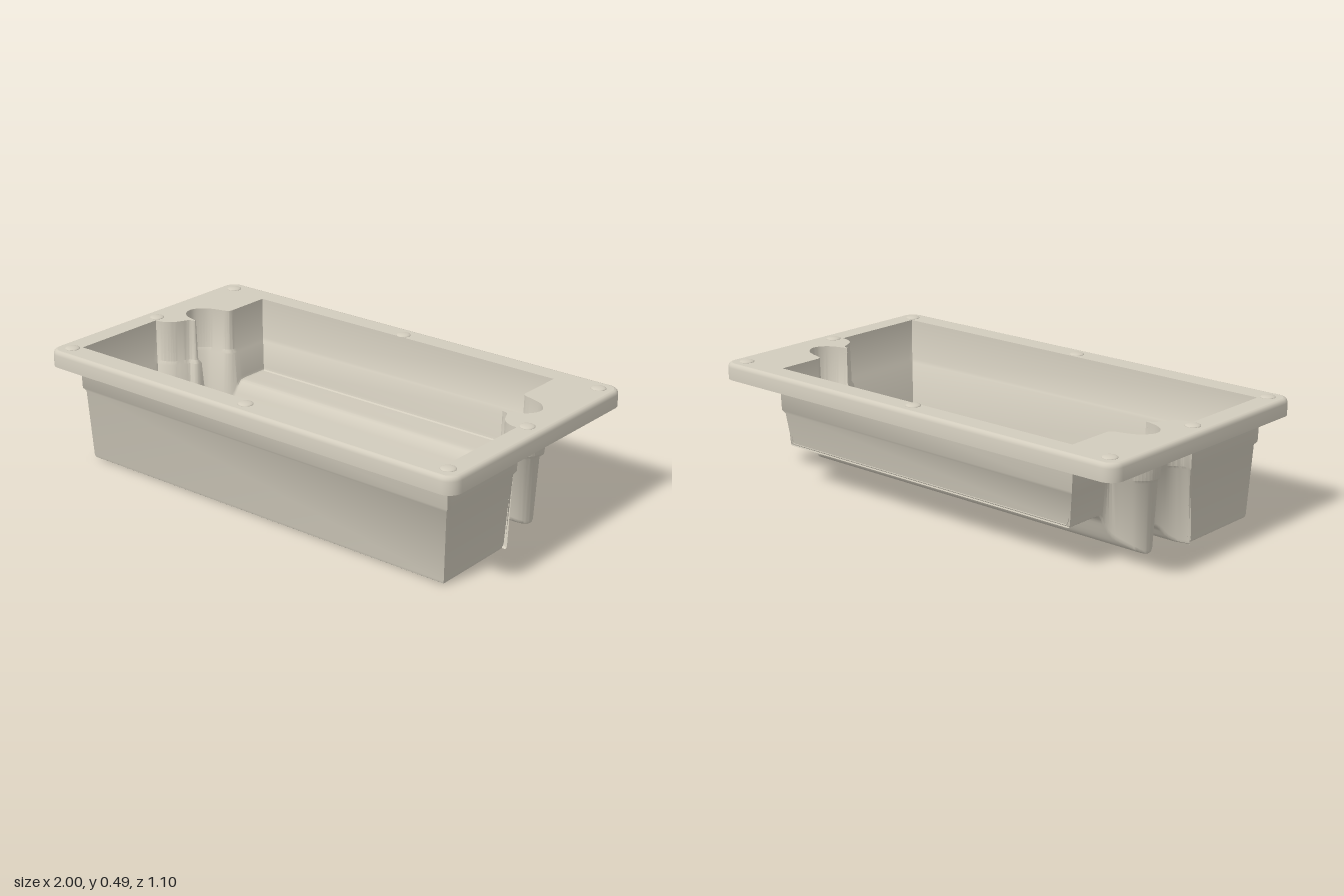
import * as THREE from 'three';
import { toCreasedNormals } from 'three/addons/utils/BufferGeometryUtils.js';

const V = (x, y) => new THREE.Vector2(x, y);
const TOP = 0.485, UNDER = 0.467, SKIRT = 0.417;

// Right half of the opening in (x, z), from the back corner to the front corner
function halfOutline() {
  const pts = [];
  const line = (a, b, n) => { for (let i = 0; i < n; i++) pts.push(a.clone().lerp(b, i / n)); };
  const spline = (list, n) => pts.push(...new THREE.SplineCurve(list.map(p => V(...p))).getPoints(n).slice(0, -1));
  line(V(0.745, -0.458), V(0.745, -0.262), 14);
  spline([[0.745, -0.262], [0.757, -0.245], [0.81, -0.23], [0.85, -0.212], [0.882, -0.175], [0.884, -0.14],
    [0.865, -0.108], [0.835, -0.088], [0.795, -0.076], [0.775, -0.073]], 36);
  spline([[0.775, -0.073], [0.778, -0.066], [0.802, -0.058], [0.816, -0.03], [0.837, 0.005], [0.87, 0.026], [0.905, 0.032]], 24);
  line(V(0.905, 0.032), V(0.905, 0.45), 16);
  pts.push(V(0.905, 0.45));
  return pts;
}

// Closed loop: right side back to front, then mirrored left side front to back
function fullOutline() {
  const half = halfOutline();
  return [...half, ...half.slice().reverse().map(p => V(-p.x, p.y))];
}

// Move a closed loop inward by d
function inset(loop, d) {
  const n = loop.length;
  const normal = (a, b) => { const t = b.clone().sub(a).normalize(); return V(-t.y, t.x); };
  return loop.map((p, i) => {
    const n1 = normal(loop[(i + n - 1) % n], p), n2 = normal(p, loop[(i + 1) % n]);
    const k = d / Math.max(0.7, 1 + n1.dot(n2));
    return V(p.x + (n1.x + n2.x) * k, p.y + (n1.y + n2.y) * k);
  });
}

// Rounded rectangle of the rim, inset by d
function rimLoop(d) {
  const r = Math.max(0.055 - d, 0.01), out = [];
  const cx = 1 - d - r, cz = 0.552 - d - r;
  [[1, -1, -90], [1, 1, 0], [-1, 1, 90], [-1, -1, 180]].forEach(([sx, sz, a0]) => {
    for (let i = 0; i <= 8; i++) {
      const a = THREE.MathUtils.degToRad(a0 + i * 90 / 8);
      out.push(V(sx * cx + r * Math.cos(a), sz * cz + r * Math.sin(a)));
    }
  });
  return out;
}

// Height of the floor underside along z
const floorCurve = new THREE.SplineCurve([[-0.5, 0.163], [-0.36, 0.163], [-0.29, 0.162], [-0.265, 0.15], [-0.25, 0.125],
  [-0.23, 0.08], [-0.21, 0.048], [-0.185, 0.027], [-0.155, 0.02], [-0.125, 0.024], [-0.1, 0.037], [-0.08, 0.06],
  [-0.066, 0.083], [-0.03, 0.071], [-0.005, 0.053], [0.015, 0.024], [0.035, 0.008], [0.06, 0.002], [0.2, 0.001],
  [0.5, 0.001]].map(p => V(...p))).getPoints(240);
function floorY(z) {
  const i = Math.max(1, floorCurve.findIndex(p => p.x >= z));
  const a = floorCurve[i - 1], b = floorCurve[i];
  return THREE.MathUtils.lerp(a.y, b.y, (z - a.x) / (b.x - a.x));
}

// Skin between rows of 3D points (rows run downward on outward faces); optional floor across the last row
function loft(rows, withFloor, flip) {
  const n = rows[0].length, pos = rows.flat(2), index = [];
  const quad = (a, b, c, d) => index.push(...(flip ? [a, c, b, b, c, d] : [a, b, c, b, d, c]));
  for (let j = 0; j < rows.length - 1; j++) {
    for (let i = 0; i < n; i++) {
      const k = (i + 1) % n;
      quad(j * n + i, j * n + k, (j + 1) * n + i, (j + 1) * n + k);
    }
  }
  if (withFloor) {
    const o = (rows.length - 1) * n;
    for (let i = 0; i < n / 2 - 1; i++) quad(o + i, o + i + 1, o + n - 1 - i, o + n - 2 - i);
  }
  const g = new THREE.BufferGeometry();
  g.setAttribute('position', new THREE.Float32BufferAttribute(pos, 3));
  g.setIndex(index);
  return toCreasedNormals(g, 0.6);
}

// Basin skin: upper wall, small step, tapered lower wall, contoured floor
function basin(outline, grow, top, lift, flip) {
  const level = (y, d) => inset(outline, d - grow).map(p => [p.x, y, p.y]);
  const low = (h, d) => inset(outline, d - grow).map(p => [p.x, floorY(p.y) + lift + h, p.y]);
  return loft([level(top, 0), level(0.312, 0.004), level(0.298, 0.014), low(0.014, 0.028), low(0.004, 0.031), low(0, 0.037)], true, flip);
}

// Flat ring between two loops, facing up or down
function ring(outer, hole, y, up) {
  const s = up ? -1 : 1;
  const shape = new THREE.Shape(outer.map(p => V(p.x, s * p.y)));
  shape.holes.push(new THREE.Path(hole.map(p => V(p.x, s * p.y))));
  return new THREE.ShapeGeometry(shape).rotateX(s * Math.PI / 2).translate(0, y, 0);
}

export function createModel() {
  const model = new THREE.Group();
  model.name = 'basinTray';
  const plastic = new THREE.MeshStandardMaterial({ color: 0xd2ccbd });
  plastic.name = 'warm grey plastic';
  const add = (name, geometry) => {
    const mesh = new THREE.Mesh(geometry, plastic);
    mesh.name = name;
    model.add(mesh);
    return mesh;
  };
  const outline = fullOutline();

  // Thin-walled basin
  add('basinOutside', basin(outline, 0.01, UNDER, 0, false));
  add('basinInside', basin(outline, 0, TOP, 0.01, true));

  // Rim: top plate, hollow underside and rounded skirt
  add('rimTop', ring(rimLoop(0.016), outline, TOP, true));
  add('rimUnderside', ring(rimLoop(0.02), inset(outline, -0.01), UNDER, false));
  const skirt = [[0.016, TOP], [0.009, 0.483], [0.003, 0.477], [0, 0.467], [0, SKIRT], [0.02, SKIRT], [0.02, UNDER]];
  add('rimSkirt', loft(skirt.map(([d, y]) => rimLoop(d).map(p => [p.x, y, p.y])), false, false));

  // Low domed fastener heads around the rim
  const dome = new THREE.SphereGeometry(1, 24, 8, 0, Math.PI * 2, 0, Math.PI / 2).scale(0.03, 0.008, 0.03);
  for (const x of [-0.93, 0, 0.93]) {
    for (const z of [-0.483, 0, 0.483]) {
      if (x === 0 && z === 0) continue;
      add('fastenerHead', dome).position.set(x, TOP, z);
    }
  }
  return model;
}
